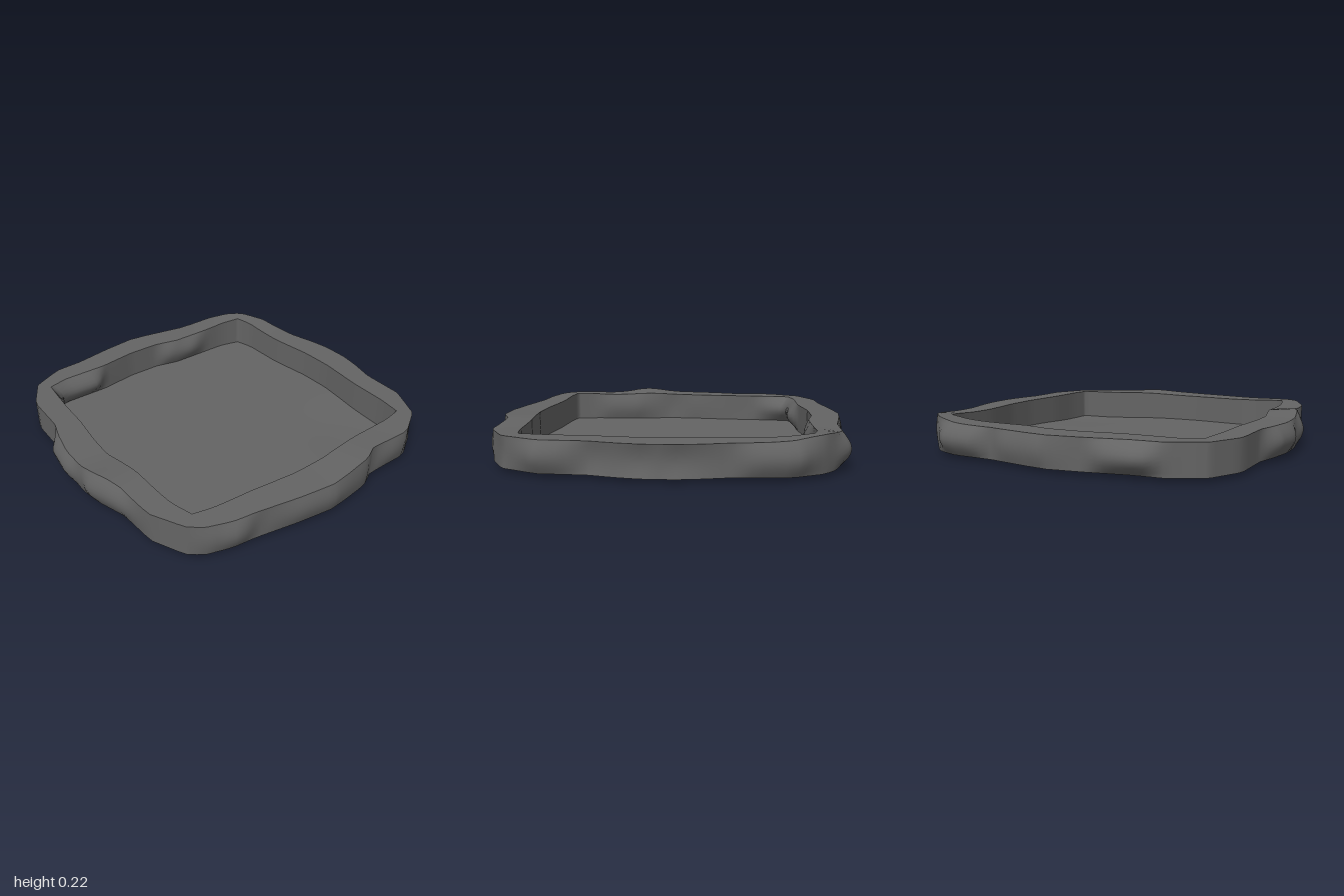
import * as THREE from 'three';

// Plan outlines as [x, z] points, in order of rising angle atan2(z, x)
const outerBase = [
  [0.98, 0], [0.95, 0.2], [0.9, 0.45], [0.885, 0.58], [0.84, 0.72], [0.78, 0.79], [0.6, 0.87], [0.37, 0.88],
  [0.2, 0.93], [0.07, 0.95], [-0.1, 0.945], [-0.25, 0.915], [-0.37, 0.88], [-0.64, 0.87], [-0.82, 0.77],
  [-0.91, 0.59], [-0.92, 0.42], [-0.96, 0.2], [-0.985, 0], [-0.97, -0.12], [-0.94, -0.28], [-0.92, -0.38],
  [-0.91, -0.62], [-0.86, -0.76], [-0.79, -0.84], [-0.64, -0.92], [-0.36, -0.94], [-0.2, -0.98], [-0.08, -1],
  [0.08, -1], [0.2, -0.98], [0.35, -0.94], [0.6, -0.93], [0.8, -0.83], [0.9, -0.66], [0.9, -0.38],
  [0.95, -0.28], [0.97, -0.12],
];
const outerMid = [
  [1, 0], [0.97, 0.2], [0.9, 0.44], [0.925, 0.56], [0.85, 0.72], [0.78, 0.79], [0.6, 0.87], [0.47, 0.885],
  [0.16, 0.98], [0.06, 0.955], [-0.06, 0.99], [-0.26, 0.96], [-0.37, 0.88], [-0.64, 0.87], [-0.82, 0.77],
  [-0.91, 0.59], [-0.98, 0.49], [-0.985, 0.3], [-0.96, 0.19], [-1, -0.04], [-0.96, -0.28], [-0.92, -0.38],
  [-0.96, -0.48], [-0.95, -0.69], [-0.86, -0.77], [-0.79, -0.85], [-0.67, -0.95], [-0.46, -0.96],
  [-0.36, -0.94], [-0.2, -0.97], [0, -0.99], [0.2, -0.97], [0.34, -0.93], [0.48, -0.96], [0.61, -0.96],
  [0.8, -0.82], [0.91, -0.65], [0.92, -0.52], [0.9, -0.38], [0.96, -0.28],
];
const innerBase = [
  [0.79, 0.1], [0.76, 0.37], [0.75, 0.6], [0.73, 0.71], [0.6, 0.74], [0.3, 0.745], [0.06, 0.785], [-0.1, 0.775],
  [-0.3, 0.75], [-0.5, 0.74], [-0.75, 0.715], [-0.78, 0.6], [-0.78, 0.33], [-0.815, 0.1], [-0.815, -0.1],
  [-0.78, -0.25], [-0.78, -0.64], [-0.75, -0.77], [-0.64, -0.8], [-0.36, -0.8], [-0.1, -0.83], [0.1, -0.83],
  [0.36, -0.8], [0.6, -0.79], [0.73, -0.77], [0.75, -0.66], [0.76, -0.4], [0.79, -0.1],
];
const innerMid = [
  [0.79, 0.1], [0.76, 0.37], [0.75, 0.6], [0.73, 0.71], [0.6, 0.74], [0.5, 0.725], [0.3, 0.725], [0.06, 0.79],
  [-0.1, 0.77], [-0.3, 0.75], [-0.51, 0.74], [-0.73, 0.65], [-0.72, 0.4], [-0.78, 0.32], [-0.815, 0.1],
  [-0.815, -0.1], [-0.765, -0.18], [-0.74, -0.37], [-0.78, -0.51], [-0.78, -0.64], [-0.75, -0.77],
  [-0.64, -0.8], [-0.36, -0.8], [-0.1, -0.83], [0.1, -0.83], [0.36, -0.8], [0.6, -0.79], [0.73, -0.77],
  [0.75, -0.66], [0.76, -0.4], [0.79, -0.1],
];

// Even angles plus the exact angles of the inner corners
const angles = Array.from({ length: 144 }, (_, i) => (i / 72 - 1) * Math.PI)
  .concat([[0.73, 0.71], [-0.75, 0.715], [-0.75, -0.77], [0.73, -0.77]].map(([x, z]) => Math.atan2(z, x)))
  .sort((a, b) => a - b);

// Distance from the centre to an outline along each angle
function radii(outline) {
  return angles.map((a) => {
    const c = Math.cos(a), s = Math.sin(a);
    let best = 0;
    outline.forEach(([x0, z0], i) => {
      const [x1, z1] = outline[(i + 1) % outline.length];
      const d0 = c * z0 - s * x0, d1 = c * z1 - s * x1;
      if (d0 * d1 > 0 || d0 === d1) return;
      const k = d0 / (d0 - d1);
      best = Math.max(best, c * (x0 + (x1 - x0) * k) + s * (z0 + (z1 - z0) * k));
    });
    return best;
  });
}

const hill = (x, z, cx, cz, w) => Math.exp(-((x - cx) ** 2 + (z - cz) ** 2) / (w * w));
const topY = (x, z) => 0.188 + 0.028 * hill(x, z, -0.84, -0.86, 0.22) + 0.028 * hill(x, z, 0.25, 0.9, 0.15)
  + 0.016 * hill(x, z, 0.93, -0.3, 0.2) + 0.012 * hill(x, z, 0.75, 0.75, 0.2);
const floorY = (x, z) => 0.02 - 0.02 * Math.min(1, 1.15 * hill(x, z, 0.58, -0.62, 0.27));

// Skin through closed rings of points
function loft(rings) {
  const n = angles.length, index = [];
  for (let r = 0; r < rings.length - 1; r++) {
    for (let i = 0; i < n; i++) {
      const a = r * n + i, b = r * n + (i + 1) % n;
      index.push(a, a + n, b, b, a + n, b + n);
    }
  }
  const geometry = new THREE.BufferGeometry();
  geometry.setAttribute('position', new THREE.Float32BufferAttribute(rings.flat(2), 3));
  geometry.setIndex(index);
  geometry.computeVertexNormals();
  return geometry;
}

const ring = (rad, yAt) => angles.map((a, i) => {
  const x = rad[i] * Math.cos(a), z = rad[i] * Math.sin(a);
  return [x, yAt(x, z), z];
});

// Wall rings from bottom to top, swelling towards the mid outline
function wallRings(base, mid, bottomY) {
  const steps = 8;
  return Array.from({ length: steps + 1 }, (_, k) => {
    const t = k / steps, swell = Math.sin(Math.PI * t);
    const rad = base.map((r, i) => r + (mid[i] - r) * swell);
    return ring(rad, (x, z) => bottomY(x, z) * (1 - t) + topY(x, z) * t);
  });
}

export function createModel() {
  const group = new THREE.Group();
  group.name = 'tray';
  const stone = new THREE.MeshStandardMaterial({ color: 0x646464, side: THREE.DoubleSide });
  stone.name = 'dark grey stone';
  const add = (name, rings) => {
    const mesh = new THREE.Mesh(loft(rings), stone);
    mesh.name = name;
    group.add(mesh);
  };

  const outer = radii(outerBase), inner = radii(innerBase);
  const outerRings = wallRings(outer, radii(outerMid), () => 0.02);
  const innerRings = wallRings(inner, radii(innerMid), floorY).reverse();

  add('outerWall', outerRings);
  add('rim', [outerRings[outerRings.length - 1], innerRings[0]]); // open underneath
  add('innerWall', innerRings);
  // Floor with a shallow sag near one corner
  add('floor', [1, 0.9, 0.8, 0.7, 0.6, 0.5, 0.3, 0].map((k) => ring(inner.map((r) => r * k), floorY)));
  return group;
}
